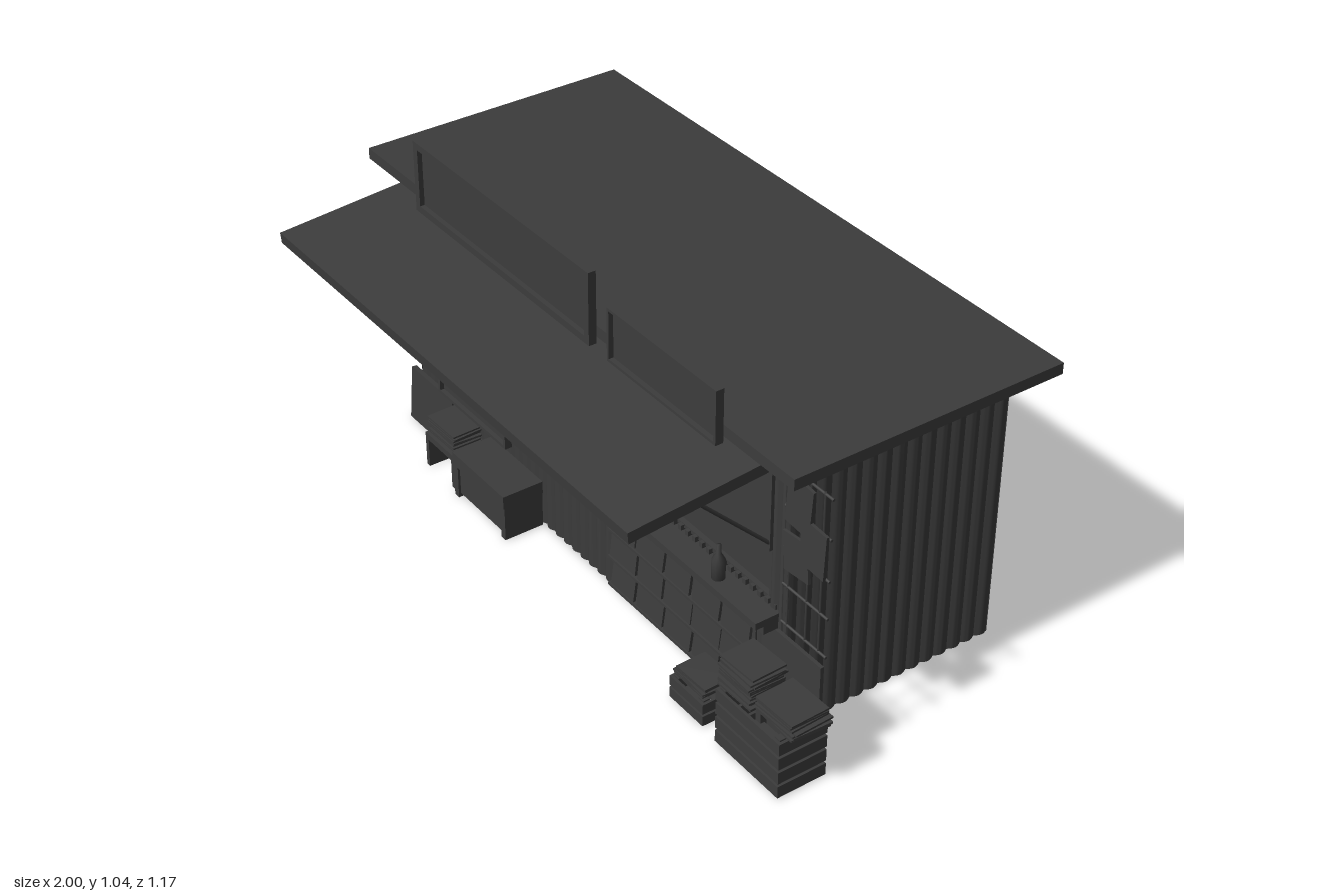
import * as THREE from 'three';
import { toCreasedNormals } from 'three/addons/utils/BufferGeometryUtils.js';

const grey = new THREE.MeshStandardMaterial({ color: 0x3c3c3c, side: THREE.DoubleSide });

// Seeded generator for loosely stacked goods
function seeded(seed) {
  return () => ((seed = (seed * 16807) % 2147483647) / 2147483647);
}

function add(parent, name, geometry, x = 0, y = 0, z = 0) {
  const mesh = new THREE.Mesh(geometry, grey);
  mesh.name = name;
  mesh.position.set(x, y, z);
  parent.add(mesh);
  return mesh;
}

// Box given by its limits on each axis
function box(parent, name, x0, x1, y0, y1, z0, z1) {
  return add(parent, name, new THREE.BoxGeometry(x1 - x0, y1 - y0, z1 - z0),
    (x0 + x1) / 2, (y0 + y1) / 2, (z0 + z1) / 2);
}

function group(parent, name) {
  const g = new THREE.Group();
  g.name = name;
  parent.add(g);
  return g;
}

// Rectangular border with an inset panel, facing +z
function framed(parent, name, x0, x1, y0, y1, z0, z1, border) {
  const g = group(parent, name);
  box(g, 'panel', x0 + border, x1 - border, y0 + border, y1 - border, z0, z0 + (z1 - z0) * 0.4);
  for (const [a, b] of [[x0, x0 + border], [x1 - border, x1]]) box(g, 'frameSide', a, b, y0, y1, z0, z1);
  for (const [a, b] of [[y0, y0 + border], [y1 - border, y1]]) box(g, 'frameRail', x0 + border, x1 - border, a, b, z0, z1);
}

// Straight bar between two points
function bar(parent, name, a, b, r) {
  const p = new THREE.Vector3(...a), q = new THREE.Vector3(...b);
  const m = add(parent, name, new THREE.CylinderGeometry(r, r, p.distanceTo(q), 6));
  m.position.copy(p).lerp(q, 0.5);
  m.quaternion.setFromUnitVectors(new THREE.Vector3(0, 1, 0), q.sub(p).normalize());
}

// Sheet of rounded ribs with sharp valleys, standing on y = 0: crests lie at local z = 0
function ribbedSheet(width, height, ribs, depth = 0.009) {
  const g = new THREE.PlaneGeometry(width, height, ribs * 8, 1).translate(0, height / 2, 0);
  const pos = g.attributes.position;
  for (let i = 0; i < pos.count; i++) {
    const phase = (pos.getX(i) / width + 0.5) * ribs * Math.PI;
    pos.setZ(i, (Math.abs(Math.sin(phase)) - 1) * depth);
  }
  return toCreasedNormals(g, 0.6);
}

function bottle(parent, x, y, z, h, r = 0.014) {
  const profile = [[0, 0], [1, 0], [1, 0.55], [0.4, 0.75], [0.35, 1], [0, 1]]
    .map(([a, b]) => new THREE.Vector2(a * r, b * h));
  add(parent, 'bottle', new THREE.LatheGeometry(profile, 12), x, y, z);
}

// Uneven pile of thin papers
function paperStack(parent, x, y0, y1, z, w, d, n, seed) {
  const rnd = seeded(seed), g = group(parent, 'paperStack'), t = (y1 - y0) / n;
  for (let i = 0; i < n; i++) {
    const m = add(g, 'paper', new THREE.BoxGeometry(w, t * 0.8, d),
      x + (rnd() - 0.5) * 0.015, y0 + (i + 0.5) * t, z + (rnd() - 0.5) * 0.012);
    m.rotation.set((rnd() - 0.5) * 0.03, (rnd() - 0.5) * 0.12, (rnd() - 0.5) * 0.05);
  }
}

// Open slatted crate
function crate(parent, x0, x1, y0, y1, z0, z1, rows) {
  const g = group(parent, 'crate'), p = (y1 - y0) / rows, t = 0.008;
  for (let i = 0; i < rows; i++) {
    const a = y0 + i * p + p * 0.1, b = y0 + (i + 1) * p - p * 0.1;
    for (const z of [z0, z1 - t]) box(g, 'longSlat', x0, x1, a, b, z, z + t);
    for (const x of [x0, x1 - t]) box(g, 'shortSlat', x, x + t, a, b, z0, z1);
  }
  for (const x of [x0 + t, x1 - 0.02 - t]) for (const z of [z0 + t, z1 - 0.02 - t])
    box(g, 'cornerPost', x, x + 0.02, y0, y1, z, z + 0.02);
  for (let i = 0; i < 3; i++) {
    const z = z0 + t + (i + 0.15) * (z1 - z0 - 2 * t) / 3;
    box(g, 'floorSlat', x0, x1, y0 + 0.01, y0 + 0.018, z, z + (z1 - z0) * 0.2);
  }
}

export function createModel() {
  const model = new THREE.Group();
  model.name = 'kiosk';
  const L = -0.9, R = 0.79, B = -0.522, F = 0.166, mid = (L + R) / 2;

  // Ribbed walls with flat inner linings
  const walls = group(model, 'walls');
  add(walls, 'backWall', ribbedSheet(R - L, 0.83, 37), mid, 0, B).rotation.y = Math.PI;
  add(walls, 'leftWall', ribbedSheet(F - B, 0.83, 15), R, 0, (F + B) / 2).rotation.y = Math.PI / 2;
  add(walls, 'rightWall', ribbedSheet(F - B, 0.83, 15), L, 0, (F + B) / 2).rotation.y = -Math.PI / 2;
  add(walls, 'frontLowerWall', ribbedSheet(R - L, 0.36, 42, 0.008), mid, 0, F);
  add(walls, 'frontPost', ribbedSheet(0.055, 0.47, 2, 0.008), -0.873, 0.36, F);
  add(walls, 'frontPost', ribbedSheet(0.062, 0.47, 2, 0.008), 0.759, 0.36, F);
  box(walls, 'backLining', L + 0.009, R - 0.009, 0, 0.83, B + 0.009, B + 0.025);
  box(walls, 'frontLining', L + 0.009, R - 0.009, 0, 0.36, F - 0.025, F - 0.009);
  for (const x of [L + 0.009, R - 0.025]) box(walls, 'sideLining', x, x + 0.016, 0, 0.83, B + 0.025, F - 0.009);
  box(walls, 'header', -0.86, 0.75, 0.76, 0.83, 0.13, 0.155);
  box(walls, 'headerTrim', -0.86, 0.75, 0.77, 0.8, 0.15, 0.175);

  // Roof and interior
  box(model, 'roof', -1, 0.887, 0.83, 0.862, -0.587, 0.23);
  box(model, 'interiorFloor', L + 0.025, R - 0.025, 0.375, 0.385, B + 0.025, F - 0.02);

  // Awning with struts
  const awning = group(model, 'awning');
  const sheet = add(awning, 'awningSheet', new THREE.BoxGeometry(1.607, 0.032, 0.422), -0.0565, 0.784, 0.376);
  sheet.rotation.x = 0.083;
  for (const x of [-0.845, 0.732]) {
    bar(awning, 'strut', [x, 0.56, 0.17], [x, 0.775, 0.39], 0.005);
    box(awning, 'strutPlate', x - 0.006, x + 0.006, 0.54, 0.77, 0.16, 0.174);
  }

  // Sign boards
  framed(model, 'largeSign', -0.682, 0.13, 0.83, 1.038, 0.247, 0.27, 0.02);
  framed(model, 'smallSign', 0.207, 0.645, 0.83, 0.982, 0.247, 0.27, 0.008);

  // Counter ledge with dentils
  const counter = group(model, 'counter');
  box(counter, 'counterTop', -0.86, 0.77, 0.35, 0.37, 0.12, 0.235);
  box(counter, 'counterSupport', -0.86, 0.77, 0.325, 0.35, 0.15, 0.21);
  for (let i = 0; i < 55; i++) box(counter, 'rib', -0.85 + i * 0.0295, -0.837 + i * 0.0295, 0.37, 0.385, 0.15, 0.165);

  // Window panels on each side of the hatch
  framed(model, 'rightWindow', -0.85, -0.33, 0.375, 0.765, 0.13, 0.155, 0.012);
  framed(model, 'leftWindow', 0.225, 0.73, 0.375, 0.765, 0.13, 0.155, 0.012);
  box(model, 'hatchHeader', -0.33, 0.225, 0.74, 0.765, 0.135, 0.155);

  // Goods inside the hatch
  const goods = group(model, 'goods'), rnd = seeded(41);
  box(goods, 'shelfBack', -0.6, 0.5, 0.385, 0.83, -0.32, -0.3);
  box(goods, 'shelf', -0.33, 0.23, 0.535, 0.55, -0.3, -0.18);
  for (let i = 0; i < 12; i++) {
    const x = -0.31 + i * 0.044, y = 0.55 + (i % 3) * 0.02;
    box(goods, 'package', x, x + 0.032, y, y + 0.04 + rnd() * 0.07, -0.3, -0.25);
  }
  box(goods, 'tallBox', -0.33, -0.27, 0.385, 0.56, 0.02, 0.1);
  box(goods, 'squareBox', -0.2, -0.14, 0.385, 0.53, -0.05, 0.03);
  for (let i = 0; i < 10; i++) bottle(goods, -0.11 + i * 0.036, 0.385, -0.05, 0.125);
  paperStack(goods, 0.1, 0.385, 0.415, 0.08, 0.15, 0.08, 5, 5);
  for (const x of [-0.39, 0.575]) bottle(goods, x, 0.37, 0.2, 0.1, 0.018);
  for (const [x, y, w, h] of [[-0.36, 0.57, 0.06, 0.08], [-0.3, 0.48, 0.06, 0.16], [-0.36, 0.66, 0.05, 0.07], [0.24, 0.66, 0.03, 0.07]])
    box(goods, 'notice', x - w / 2, x + w / 2, y - h / 2, y + h / 2, 0.16, 0.18);

  // Wire rack with hanging papers
  const rack = group(model, 'wireRack');
  for (const x of [0.8, 0.87, 0.92]) bar(rack, 'upright', [x, 0.35, 0.165], [x, 0.82, 0.165], 0.003);
  for (const y of [0.355, 0.47, 0.58, 0.7, 0.815]) bar(rack, 'rung', [0.78, y, 0.165], [0.95, y, 0.165], 0.004);
  for (const [x, y, w, h, a] of [[0.845, 0.74, 0.09, 0.14, -0.08], [0.9, 0.65, 0.09, 0.13, -0.05], [0.84, 0.59, 0.09, 0.11, 0.1]])
    add(rack, 'hangingPaper', new THREE.BoxGeometry(w, h, 0.008), x, y, 0.175).rotation.z = a;

  // Magazine display on the lower front
  const display = group(model, 'magazineDisplay');
  box(display, 'backBoard', 0.09, 0.69, 0.03, 0.3, 0.163, 0.17);
  for (let row = 0; row < 3; row++) {
    const y = 0.035 + row * 0.09;
    box(display, 'ledge', 0.09, 0.69, y - 0.004, y + 0.004, 0.165, 0.195);
    for (let i = 0; i < 5; i++) {
      const g = new THREE.BoxGeometry(0.1 + rnd() * 0.017, 0.078 + rnd() * 0.01, 0.008);
      add(display, 'magazine', g, 0.15 + i * 0.12, y + 0.044, 0.182).rotation.set(-0.12, 0, (rnd() - 0.5) * 0.06);
    }
  }

  // Notice board and goods on the ground, right side
  framed(model, 'noticeBoard', -0.77, -0.42, 0.165, 0.315, 0.163, 0.185, 0.01);
  add(model, 'leaningBoard', new THREE.BoxGeometry(0.22, 0.168, 0.015), -0.81, 0.084, 0.182).rotation.x = -0.08;
  const bench = group(model, 'paperBench');
  box(bench, 'benchTop', -0.69, -0.54, 0.09, 0.11, 0.17, 0.28);
  for (const x of [-0.69, -0.555]) box(bench, 'benchLeg', x, x + 0.015, 0, 0.09, 0.17, 0.28);
  paperStack(bench, -0.615, 0.11, 0.165, 0.225, 0.13, 0.09, 9, 17);
  const chest = group(model, 'chest');
  box(chest, 'chestBody', -0.51, -0.27, 0.012, 0.11, 0.17, 0.285);
  box(chest, 'chestLid', -0.52, -0.26, 0.105, 0.145, 0.168, 0.295);
  for (const x of [-0.52, -0.28]) box(chest, 'chestLeg', x, x + 0.02, 0, 0.105, 0.17, 0.292);

  // Crates and paper piles, left side
  crate(model, 0.72, 0.97, 0, 0.178, 0.165, 0.312, 4);
  paperStack(model, 0.787, 0.18, 0.28, 0.255, 0.125, 0.105, 14, 23);
  paperStack(model, 0.925, 0.18, 0.235, 0.235, 0.135, 0.115, 8, 31);
  box(model, 'crateBackBoard', 0.72, 0.945, 0.175, 0.325, 0.165, 0.175);
  crate(model, 0.52, 0.66, 0, 0.075, 0.2, 0.305, 2);
  paperStack(model, 0.59, 0.075, 0.11, 0.252, 0.12, 0.09, 6, 47);
  return model;
}
